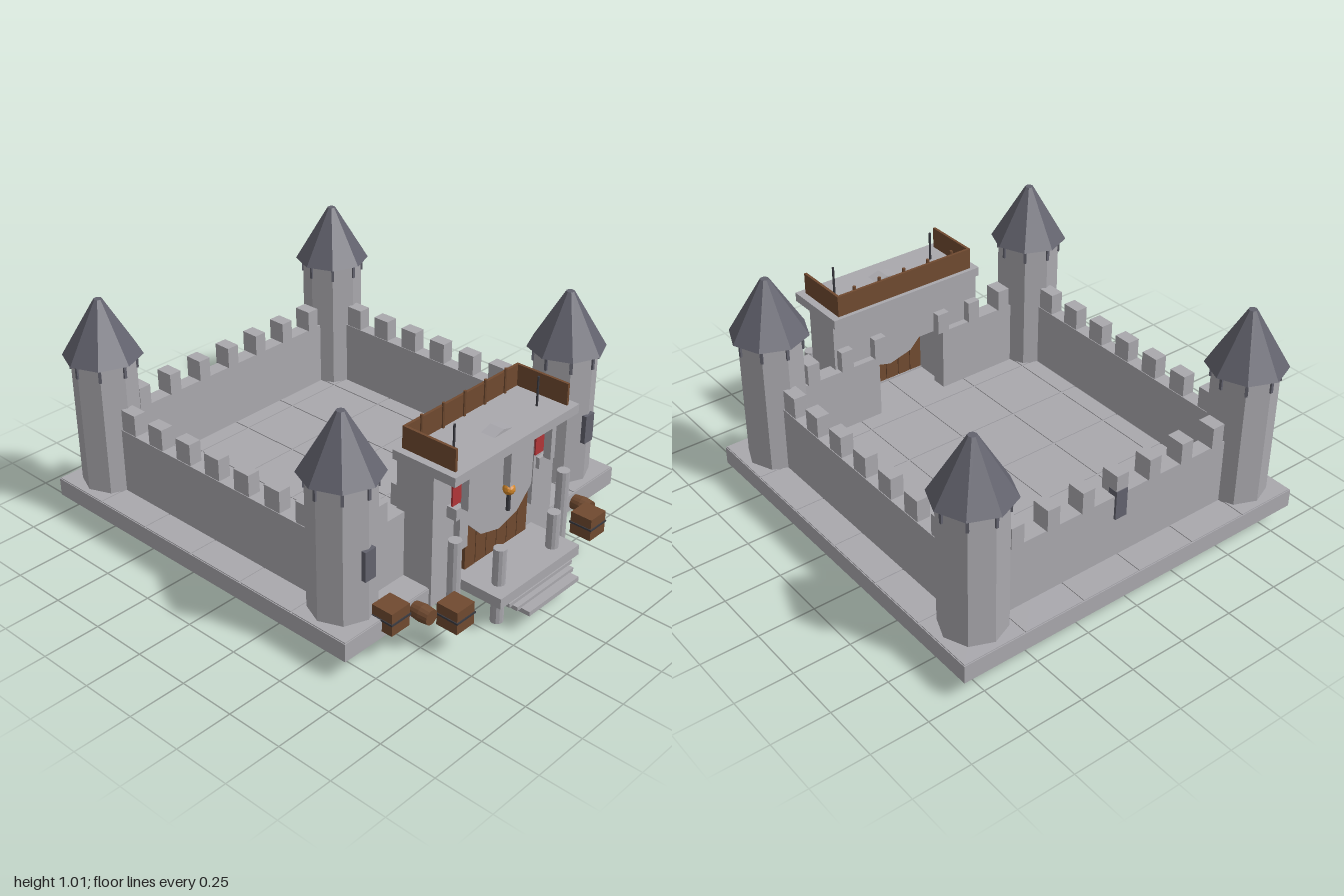
import * as THREE from 'three';

const paint = (color) => new THREE.MeshStandardMaterial({ color, flatShading: true });
const stone = paint(0xa9a8ad);
const slate = paint(0x62626d);
const wood = paint(0x704a30);
const iron = paint(0x3a3a40);
const cloth = paint(0xb03538);
const flame = paint(0xd08528);

export function createModel() {
  const castle = new THREE.Group();

  const add = (name, geometry, material, x, y, z, parent = castle) => {
    const mesh = new THREE.Mesh(geometry, material);
    mesh.name = name;
    mesh.position.set(x, y, z);
    parent.add(mesh);
    return mesh;
  };
  // Box given by its limits on each axis
  const box = (name, material, [x0, x1], [y0, y1], [z0, z1], parent) =>
    add(name, new THREE.BoxGeometry(x1 - x0, y1 - y0, z1 - z0), material,
      (x0 + x1) / 2, (y0 + y1) / 2, (z0 + z1) / 2, parent);
  // Upright cylinder from y0 to y1
  const post = (name, material, r, x, z, y0, y1, sides = 12, parent = castle) =>
    add(name, new THREE.CylinderGeometry(r, r, y1 - y0, sides), material, x, (y0 + y1) / 2, z, parent);
  const group = (name) => {
    const g = new THREE.Group();
    g.name = name;
    castle.add(g);
    return g;
  };

  const TX = 0.675, FRONT = 0.51, BACK = -0.835;
  const STEP = (FRONT - BACK) / 8;

  // Base slab with paving
  box('base', stone, [-0.84, 0.84], [0.09, 0.17], [-1, 0.68]);
  const paving = group('paving');
  const tile = 0.28;
  for (let i = 0; i < 6; i++) {
    for (let j = 0; j < 6; j++) {
      const x = -0.84 + i * tile, z = -1 + j * tile;
      box('pavingSlab', stone, [x + 0.004, x + tile - 0.004], [0.168, 0.174],
        [z + 0.004, z + tile - 0.004], paving);
    }
  }

  // Corner towers with pointed roofs
  for (const x of [-TX, TX]) {
    for (const z of [FRONT, BACK]) {
      const tower = group('tower');
      post('towerBody', stone, 0.135, x, z, 0.17, 0.77, 8, tower);
      add('towerRoof', new THREE.CylinderGeometry(0.018, 0.167, 0.248, 8), slate, x, 0.888, z, tower);
      for (let k = 0; k < 8; k++) {
        const a = k * Math.PI / 4;
        const corbel = add('corbel', new THREE.BoxGeometry(0.012, 0.065, 0.02), slate,
          x + Math.sin(a) * 0.131, 0.733, z + Math.cos(a) * 0.131, tower);
        corbel.rotation.y = a;
      }
    }
    box('towerWindow', slate, [x - 0.028, x + 0.028], [0.36, 0.49], [0.6, 0.655]);
  }

  // Curtain walls
  const WALL = [0.17, 0.465];
  for (const s of [-1, 1]) {
    const x = s * TX;
    box('sideWall', stone, [x - 0.032, x + 0.032], WALL, [BACK, FRONT]);
    const inner = s * 0.17;
    box('frontWall', stone, [Math.min(inner, x), Math.max(inner, x)], WALL, [0.48, 0.55]);
  }
  box('backWall', stone, [-TX, TX], WALL, [BACK - 0.035, BACK + 0.035]);
  box('backWindow', slate, [-0.028, 0.028], [0.36, 0.49], [BACK - 0.045, BACK]);

  // Battlements
  const battlements = group('battlements');
  const merlon = (x, z) => box('merlon', stone, [x - 0.029, x + 0.029], [0.465, 0.56],
    [z - 0.041, z + 0.041], battlements);
  for (let k = 1; k < 8; k++) {
    const along = -TX + k * STEP;
    merlon(-TX, FRONT - k * STEP);
    merlon(TX, FRONT - k * STEP);
    merlon(along, BACK);
    if (k !== 4) merlon(along, FRONT + 0.005);
  }

  // Gatehouse
  const gate = group('gatehouse');
  box('gateLintel', stone, [-0.375, 0.375], [0.465, 0.68], [0.51, 0.69], gate);
  box('gateRoof', stone, [-0.378, 0.378], [0.675, 0.715], [0.49, 0.793], gate);
  const arch = add('gateArch', new THREE.CylinderGeometry(0.225, 0.225, 0.065, 12), stone, 0, 0.505, 0.683, gate);
  arch.rotation.x = Math.PI / 2;
  for (let k = 0; k < 6; k++) {
    const x = -0.195 + k * 0.065;
    box('doorPlank', wood, [x + 0.002, x + 0.063], [0.15, 0.4], [0.685, 0.705], gate);
  }
  for (const s of [-1, 1]) {
    const span = (a, b) => (s > 0 ? [a, b] : [-b, -a]);
    box('gatePier', stone, span(0.19, 0.375), [0.09, 0.47], [0.51, 0.69], gate);
    box('pilaster', stone, span(0.2, 0.25), [0.3, 0.68], [0.69, 0.72], gate);
    box('bracket', stone, span(0.215, 0.295), [0.465, 0.515], [0.69, 0.737], gate);
    box('hangingPost', stone, span(0.24, 0.267), [0.51, 0.68], [0.735, 0.77], gate);
    box('banner', cloth, span(0.2, 0.305), [0.53, 0.66], [0.718, 0.726], gate);
    post('gateColumn', stone, 0.027, s * 0.338, 0.77, 0.09, 0.42, 12, gate);
    post('porchColumn', stone, 0.027, s * 0.17, 0.855, 0, 0.34, 12, gate);
    post('roofSpike', iron, 0.005, s * 0.253, 0.68, 0.715, 0.845, 6, gate);
    box('sideRail', wood, span(0.333, 0.345), [0.715, 0.81], [0.508, 0.765], gate);
  }
  box('backRail', wood, [-0.345, 0.345], [0.715, 0.81], [0.508, 0.52], gate);
  for (let k = -2; k <= 2; k++) post('railPost', wood, 0.007, k * 0.126, 0.522, 0.715, 0.825, 6, gate);

  // Hanging torch
  box('torchHanger', stone, [-0.015, 0.015], [0.5, 0.68], [0.735, 0.77], gate);
  post('torchHandle', iron, 0.009, 0, 0.755, 0.385, 0.47, 8, gate);
  add('torchFlame', new THREE.IcosahedronGeometry(0.026, 1), flame, 0, 0.482, 0.755, gate);

  // Porch and steps
  const porch = group('porch');
  box('porchFloor', stone, [-0.25, 0.25], [0.132, 0.178], [0.68, 0.93], porch);
  box('upperStep', stone, [-0.2, 0.2], [0.115, 0.133], [0.75, 0.935], porch);
  box('middleStep', stone, [-0.18, 0.18], [0.1, 0.118], [0.85, 0.958], porch);
  box('lowerStep', stone, [-0.158, 0.158], [0.085, 0.105], [0.91, 1], porch);

  // Crates and barrels
  const crate = (x, z) => {
    const g = group('crate');
    add('crateBody', new THREE.BoxGeometry(0.1, 0.1, 0.1), wood, x, 0.17, z, g);
    add('crateBand', new THREE.BoxGeometry(0.108, 0.008, 0.108), iron, x, 0.172, z, g);
  };
  crate(-0.592, 0.68);
  for (const s of [-1, 1]) {
    crate(s * 0.421, 0.85);
    const barrel = add('barrel', new THREE.CylinderGeometry(0.032, 0.032, 0.085, 16, 2), wood, s * 0.505, 0.172, 0.763);
    // Bulge the middle ring of the barrel
    const p = barrel.geometry.attributes.position;
    for (let i = 0; i < p.count; i++) {
      if (Math.abs(p.getY(i)) < 0.001) p.setXYZ(i, p.getX(i) * 1.15, 0, p.getZ(i) * 1.15);
    }
    barrel.rotation.x = Math.PI / 2;
  }
  return castle;
}
